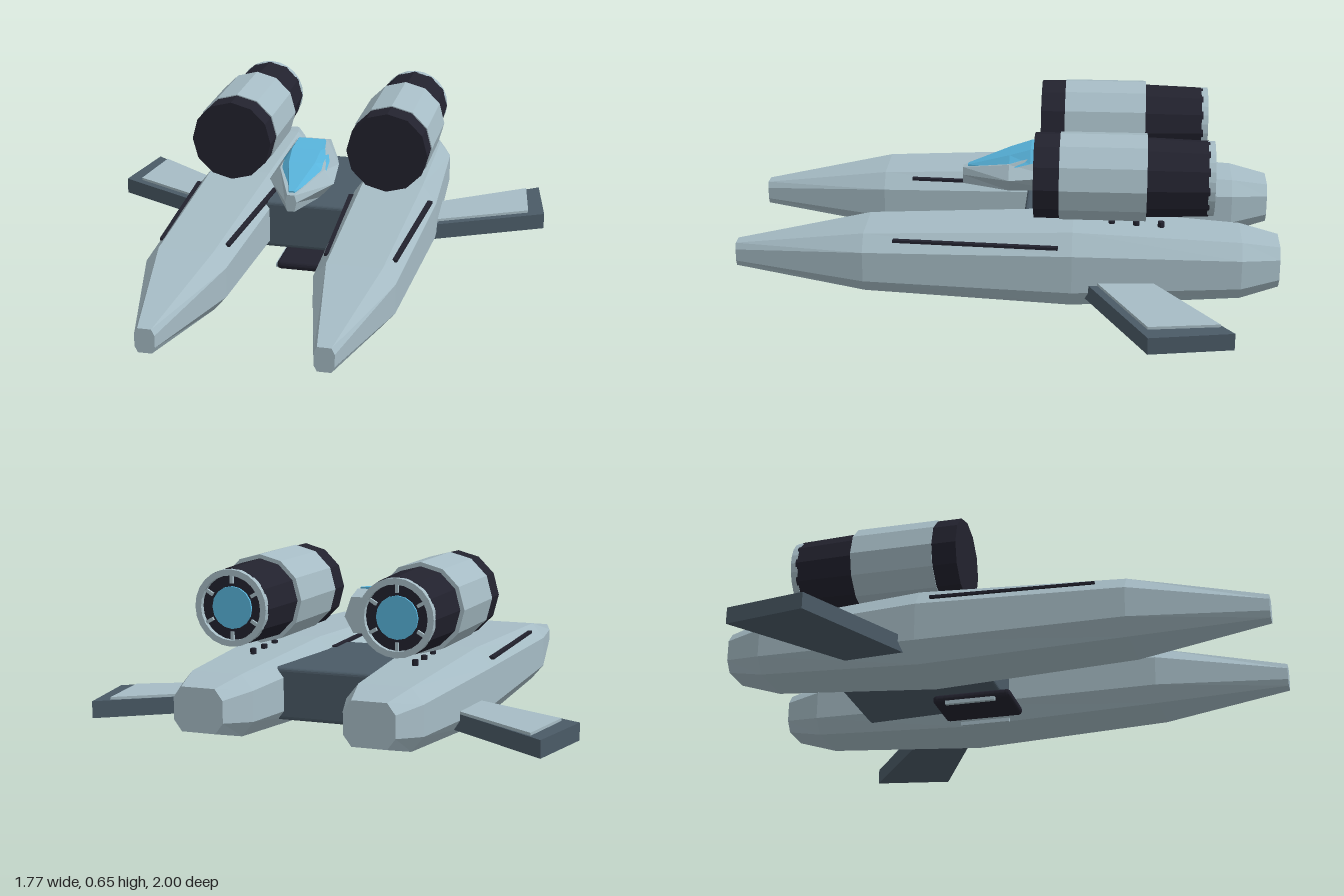
import * as THREE from 'three';
import { RoundedBoxGeometry } from 'three/addons/geometries/RoundedBoxGeometry.js';

function mat(name, color) {
  const m = new THREE.MeshStandardMaterial({ color });
  m.name = name;
  m.flatShading = true;
  return m;
}

// Skins a list of { z, ring } sections, back to front, rings counterclockwise from the front
function loft(sections) {
  const pos = [];
  const tri = (...pts) => pts.forEach((p) => pos.push(...p));
  const rings = sections.map(({ z, ring }) => ring.map(([x, y]) => [x, y, z]));
  const n = rings[0].length;
  for (let i = 0; i < rings.length - 1; i++) {
    for (let j = 0; j < n; j++) {
      const k = (j + 1) % n;
      const a = rings[i][j], b = rings[i][k], c = rings[i + 1][k], d = rings[i + 1][j];
      tri(a, b, c);
      tri(a, c, d);
    }
  }
  const back = rings[0], front = rings[rings.length - 1];
  for (let j = 1; j < n - 1; j++) {
    tri(back[0], back[j + 1], back[j]);
    tri(front[0], front[j], front[j + 1]);
  }
  const g = new THREE.BufferGeometry();
  g.setAttribute('position', new THREE.Float32BufferAttribute(pos, 3));
  g.computeVertexNormals();
  return g;
}

// Octagon with chamfered corners
function octagon(hw, y0, y1) {
  const m = (y0 + y1) / 2, h = (y1 - y0) / 2, a = hw * 0.68, b = h * 0.5;
  return [[hw, m - b], [hw, m + b], [a, y1], [-a, y1], [-hw, m + b], [-hw, m - b], [-a, y0], [a, y0]];
}

// Mirrored ring from its right half, listed bottom to top
const mirrorRing = (half) => [...half, ...half.slice().reverse().map(([x, y]) => [-x, y])];

// Flat plate from [x, z] corners
function plate(corners, side, y, depth) {
  const shape = new THREE.Shape(corners.map(([x, z]) => new THREE.Vector2(x * side, -z)));
  const g = new THREE.ExtrudeGeometry(shape, { depth, bevelEnabled: false });
  g.rotateX(-Math.PI / 2);
  g.translate(0, y, 0);
  return g;
}

export function createModel() {
  const root = new THREE.Group();
  root.name = 'spacecraft';
  const light = mat('paleGreyBlue', 0xa6bcc5);
  const slate = mat('slate', 0x4a5a66);
  const dark = mat('nearBlack', 0x22222e);
  const blue = mat('glassBlue', 0x58b4dc);

  function add(parent, name, geometry, material, x = 0, y = 0, z = 0) {
    const m = new THREE.Mesh(geometry, material);
    m.name = name;
    m.position.set(x, y, z);
    parent.add(m);
    return m;
  }
  // Twelve-sided drum lying along z
  function drum(rFront, rBack, z0, z1, sides = 12) {
    const g = new THREE.CylinderGeometry(rFront, rBack, z1 - z0, sides);
    g.rotateX(Math.PI / 2);
    g.translate(0, 0, (z0 + z1) / 2);
    return g;
  }

  // Central bridge between the hulls
  add(root, 'centerBody', new RoundedBoxGeometry(0.44, 0.19, 0.58, 2, 0.014), slate, 0, 0.175, -0.35);

  // Belly plate and skids
  add(root, 'bellyPlate', new RoundedBoxGeometry(0.2, 0.034, 0.3, 2, 0.015), dark, 0, 0.032, -0.145);

  const hullGeo = loft([
    [-1, 0.092, 0.1, 0.255], [-0.86, 0.138, 0.065, 0.282], [-0.25, 0.173, 0.03, 0.316],
    [0.51, 0.15, 0.06, 0.286], [1, 0.036, 0.112, 0.202],
  ].map(([z, hw, y0, y1]) => ({ z, ring: octagon(hw, y0, y1) })));

  // Tail ring of the engine
  const ringShape = new THREE.Shape().absarc(0, 0, 0.136, 0, Math.PI * 2);
  ringShape.holes.push(new THREE.Path().absarc(0, 0, 0.114, 0, Math.PI * 2, true));
  const ringGeo = new THREE.ExtrudeGeometry(ringShape, { depth: 0.025, bevelEnabled: false, curveSegments: 12 });

  for (const side of [1, -1]) {
    const label = side > 0 ? 'left' : 'right';

    const hull = new THREE.Group();
    hull.name = label + 'Hull';
    hull.position.x = side * 0.31;
    root.add(hull);
    add(hull, 'hullShell', hullGeo, light);
    for (const s of [1, -1]) {
      const slot = add(hull, 'sideSlot', new THREE.BoxGeometry(0.024, 0.01, 0.6), dark, s * 0.138, 0.27, 0.1);
      slot.rotation.y = -s * 0.055;
    }
    for (const z of [-0.39, -0.48, -0.57]) {
      add(hull, 'topVent', new THREE.CylinderGeometry(0.012, 0.012, 0.024, 8), dark, 0, 0.306, z);
    }

    // Engine pod
    const engine = new THREE.Group();
    engine.name = label + 'Engine';
    engine.position.set(side * 0.307, 0.49, 0);
    root.add(engine);
    add(engine, 'intake', drum(0.157, 0.157, -0.2, -0.108), dark);
    add(engine, 'engineCasing', drum(0.161, 0.161, -0.512, -0.2), light);
    add(engine, 'exhaustCasing', drum(0.146, 0.138, -0.735, -0.512), dark);
    add(engine, 'exhaustRing', ringGeo, light, 0, 0, -0.754);
    add(engine, 'exhaustGlow', drum(0.075, 0.075, -0.743, -0.735, 16), blue);
    for (let i = 0; i < 6; i++) {
      const a = (i * Math.PI) / 3 + Math.PI / 6;
      const vane = add(engine, 'exhaustVane', new THREE.BoxGeometry(0.03, 0.012, 0.012), light,
        Math.cos(a) * 0.1, Math.sin(a) * 0.1, -0.739);
      vane.rotation.z = a;
    }

    // Swept wing with inset top panel
    const wing = new THREE.Group();
    wing.name = label + 'Wing';
    root.add(wing);
    add(wing, 'wingSlab', plate([[0.36, -0.25], [0.885, -0.52], [0.833, -0.817], [0.36, -0.467]], side, 0.07, 0.062), slate);
    add(wing, 'wingPanel', plate([[0.38, -0.293], [0.82, -0.52], [0.785, -0.77], [0.38, -0.485]], side, 0.132, 0.01), light);

    add(root, label + 'Skid', new THREE.BoxGeometry(0.014, 0.014, 0.19), light, side * 0.11, 0.007, -0.145);
  }

  // Cockpit pod and canopy
  const cockpit = new THREE.Group();
  cockpit.name = 'cockpit';
  root.add(cockpit);
  add(cockpit, 'cockpitShell', loft([
    { z: -0.26, ring: mirrorRing([[0.05, 0.34], [0.085, 0.4], [0.058, 0.475]]) },
    { z: -0.19, ring: mirrorRing([[0.06, 0.33], [0.105, 0.4], [0.06, 0.497]]) },
    { z: 0, ring: mirrorRing([[0.07, 0.33], [0.125, 0.39], [0.085, 0.44]]) },
    { z: 0.18, ring: mirrorRing([[0.014, 0.335], [0.022, 0.372], [0.014, 0.4]]) },
  ]), light);
  add(cockpit, 'canopy', loft([
    { z: -0.18, ring: mirrorRing([[0.066, 0.47], [0.052, 0.502]]) },
    { z: -0.08, ring: mirrorRing([[0.09, 0.446], [0.056, 0.492]]) },
    { z: 0, ring: mirrorRing([[0.092, 0.425], [0.05, 0.466]]) },
    { z: 0.162, ring: mirrorRing([[0.016, 0.39], [0.01, 0.41]]) },
  ]), blue);

  return root;
}
